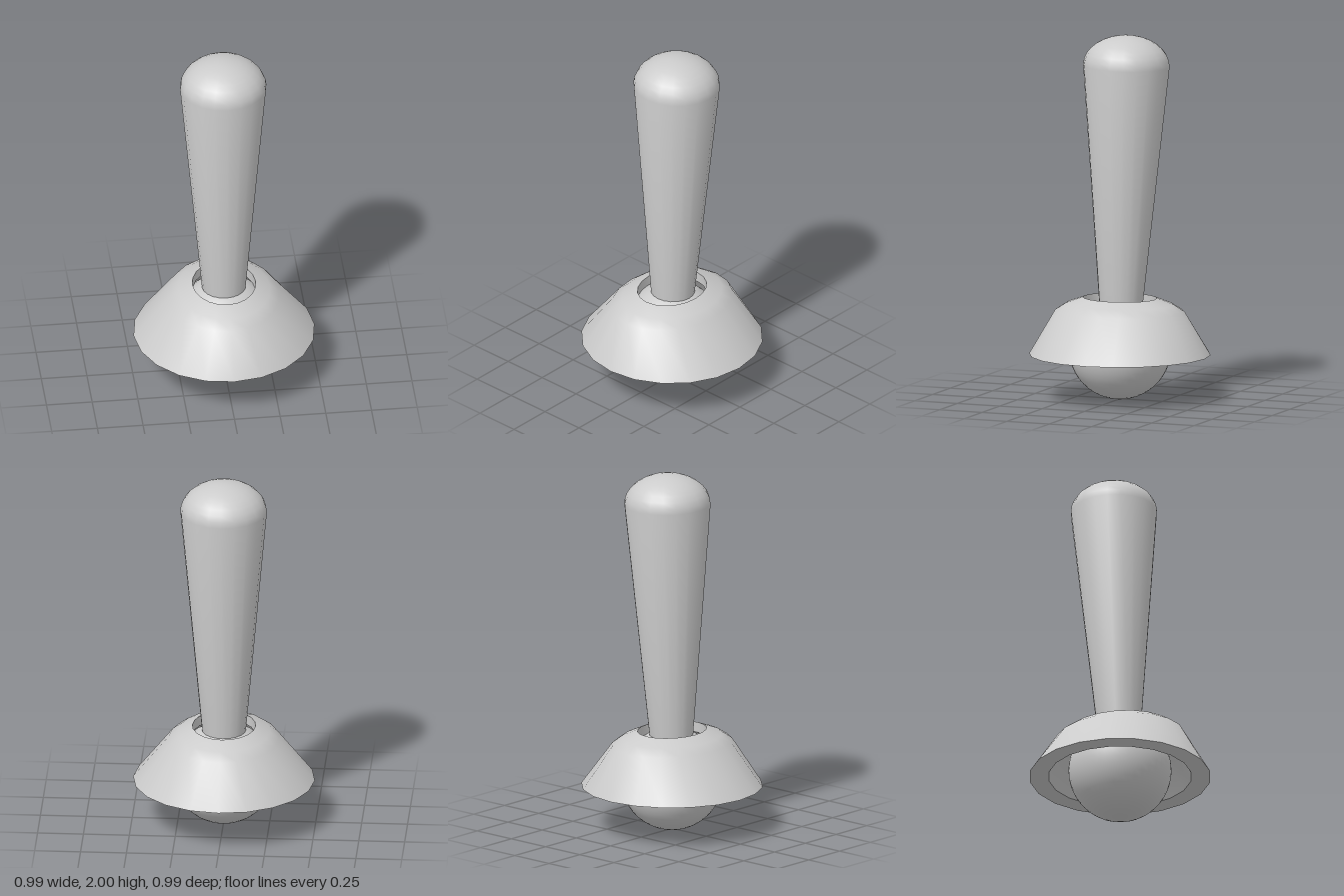
import * as THREE from 'three';
import { toCreasedNormals } from 'three/addons/utils/BufferGeometryUtils.js';

const SIDES = 20;
const PIVOT = 0.28; // height of the ball centre

const profile = (points) => points.map(([r, y]) => new THREE.Vector2(r, y));

export function createModel() {
  const group = new THREE.Group();
  const material = new THREE.MeshStandardMaterial({ color: 0xcccccc });
  const add = (name, geometry, parent = group) => {
    const mesh = new THREE.Mesh(geometry, material);
    mesh.name = name;
    parent.add(mesh);
    return mesh;
  };

  // Pivot ball and stick tilt together about the ball centre
  const lever = new THREE.Group();
  lever.name = 'lever';
  lever.position.y = PIVOT;
  lever.rotation.x = -0.024;
  group.add(lever);

  add('pivotBall', new THREE.SphereGeometry(PIVOT, 40, 24), lever);

  // Tapered stick ending in a flattened dome
  const stick = [[0, 0.2], [0.115, 0.2]];
  const domeSteps = 8;
  for (let i = 0; i <= domeSteps; i++) {
    const a = (i / domeSteps) * Math.PI / 2;
    stick.push([i === domeSteps ? 0 : 0.236 * Math.cos(a), 1.555 + 0.165 * Math.sin(a)]);
  }
  add('stick', toCreasedNormals(new THREE.LatheGeometry(profile(stick), SIDES), 0.7), lever);

  // Hollow skirt: outer wall up, through the hole, inner wall down, bottom rim
  const skirt = new THREE.LatheGeometry(profile([
    [0.495, 0.245], [0.3, 0.485], [0.25, 0.523], [0.172, 0.557],
    [0.172, 0.5], [0.225, 0.465], [0.39, 0.245], [0.495, 0.245],
  ]), SIDES);
  // Round at the bottom, stretched front to back towards the top
  const p = skirt.attributes.position;
  for (let i = 0; i < p.count; i++) {
    const t = Math.min((p.getY(i) - 0.245) / 0.235, 1);
    p.setZ(i, p.getZ(i) * (1 + 0.2 * t));
  }
  add('skirt', toCreasedNormals(skirt, 0.6));

  return group;
}
